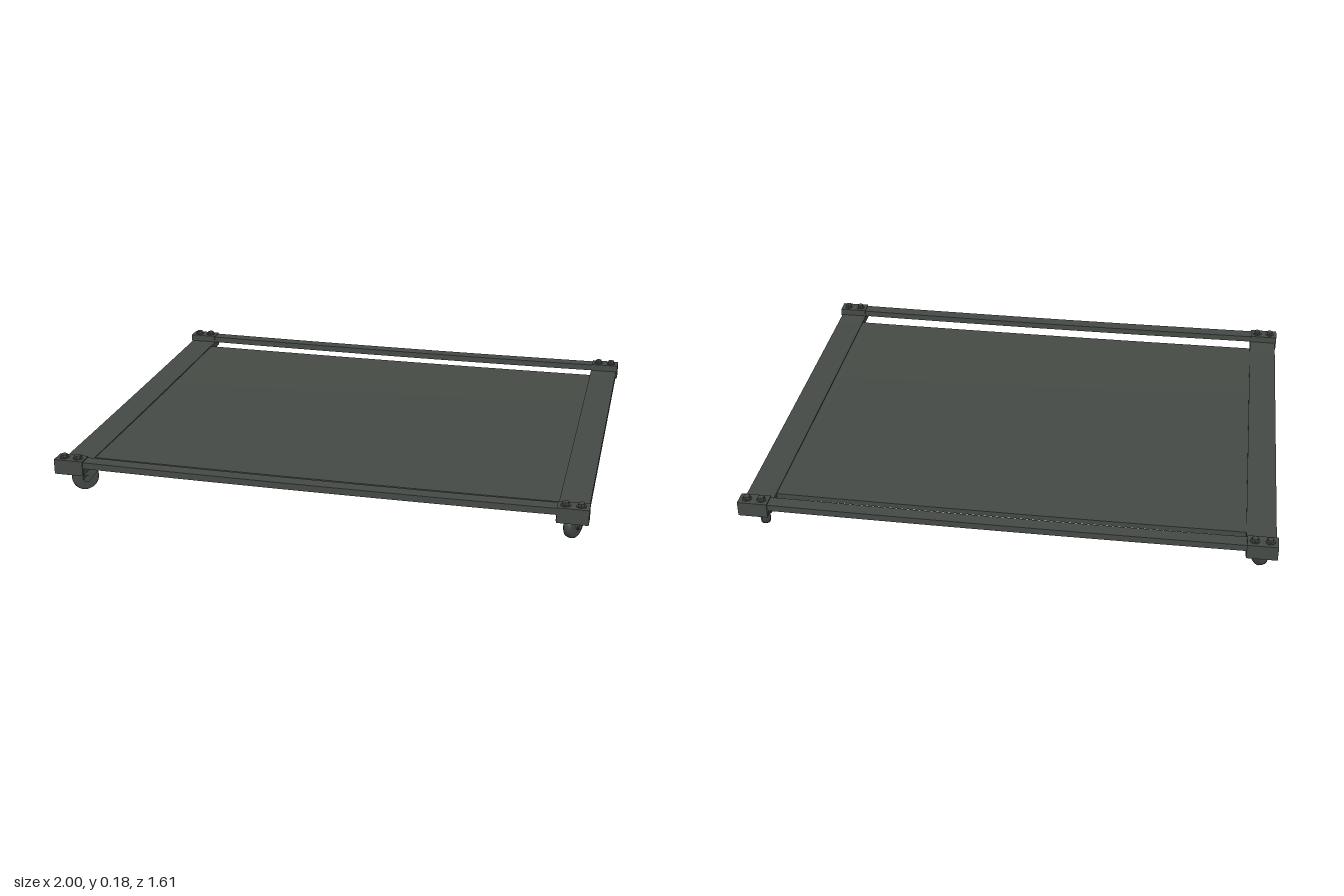
import * as THREE from 'three';

const steel = new THREE.MeshStandardMaterial({ color: 0x464b46 });
steel.name = 'dark grey steel';

function add(parent, name, geometry, x = 0, y = 0, z = 0) {
  const mesh = new THREE.Mesh(geometry, steel);
  mesh.name = name;
  mesh.position.set(x, y, z);
  parent.add(mesh);
  return mesh;
}

// Box whose middle hangs slightly along x and z
function saggingBox(w, h, d, nx, nz, sagX, sagZ) {
  const g = new THREE.BoxGeometry(w, h, d, nx, 1, nz);
  const p = g.attributes.position;
  for (let i = 0; i < p.count; i++) {
    const u = (2 * p.getX(i)) / w, v = (2 * p.getZ(i)) / d;
    p.setY(i, p.getY(i) - sagX * (1 - u * u) - sagZ * (1 - v * v));
  }
  g.computeVertexNormals();
  return g;
}

// Swivel caster: origin on the pivot at floor level, wheel trailing along +z
function caster(x, z, yaw) {
  const group = new THREE.Group();
  group.name = 'caster';
  const trail = 0.042, axleY = 0.052;

  // Wheel with rounded shoulders and a hub
  const profile = [[0.012, -0.017], [0.044, -0.017], [0.05, -0.012], [0.052, 0],
    [0.05, 0.012], [0.044, 0.017], [0.012, 0.017]].map(([r, y]) => new THREE.Vector2(r, y));
  add(group, 'wheel', new THREE.LatheGeometry(profile, 28), 0, axleY, trail).rotation.z = Math.PI / 2;
  add(group, 'axle', new THREE.CylinderGeometry(0.013, 0.013, 0.058, 16), 0, axleY, trail).rotation.z = Math.PI / 2;

  // Slanted fork cheeks, drawn in the (z, y) plane
  const cheek = new THREE.Shape();
  cheek.moveTo(-0.03, 0.106);
  cheek.lineTo(0.036, 0.106);
  cheek.lineTo(trail + 0.016, axleY);
  cheek.absarc(trail, axleY, 0.016, 0, -Math.PI * 0.85, true);
  cheek.closePath();
  const cheekGeometry = new THREE.ExtrudeGeometry(cheek, { depth: 0.006, bevelEnabled: false, curveSegments: 8 });
  cheekGeometry.rotateY(-Math.PI / 2);
  for (const cx of [-0.019, 0.025]) add(group, 'forkCheek', cheekGeometry, cx);

  add(group, 'forkCrown', new THREE.BoxGeometry(0.05, 0.005, 0.066), 0, 0.1045, 0.003);
  add(group, 'swivelPlate', new THREE.CylinderGeometry(0.03, 0.03, 0.006, 20), 0, 0.108, 0);

  // Place so that the wheel centre lands on x, z
  group.position.set(x - Math.sin(yaw) * trail, 0, z - Math.cos(yaw) * trail);
  group.rotation.y = yaw;
  return group;
}

export function createModel() {
  const model = new THREE.Group();
  model.name = 'flatDolly';

  // Thin deck between the side rails
  add(model, 'deck', saggingBox(1.79, 0.02, 1.375, 16, 16, 0.003, 0.004), 0, 0.122, 0);

  // Wide side rails carrying the deck
  for (const s of [-1, 1]) {
    add(model, 'sideRail', saggingBox(0.11, 0.027, 1.6, 1, 16, 0, 0.002), s * 0.94, 0.1215, 0);
  }

  // Raised end rails across front and back
  for (const s of [-1, 1]) {
    add(model, 'endRail', saggingBox(1.99, 0.025, 0.052, 16, 1, 0.005, 0), 0, 0.1465, s * 0.775);
  }

  // Corner brackets with two hex bolts each
  const cap = new THREE.BoxGeometry(0.113, 0.027, 0.06);
  const seat = new THREE.BoxGeometry(0.113, 0.031, 0.06);
  const washer = new THREE.CylinderGeometry(0.018, 0.018, 0.004, 16);
  const bolt = new THREE.CylinderGeometry(0.013, 0.013, 0.013, 6).toNonIndexed();
  bolt.computeVertexNormals();
  for (const sx of [-1, 1]) for (const sz of [-1, 1]) {
    add(model, 'cornerCap', cap, sx * 0.9435, 0.1485, sz * 0.775);
    add(model, 'cornerSeat', seat, sx * 0.9435, 0.1195, sz * 0.775);
    for (const bx of [0.915, 0.97]) {
      add(model, 'washer', washer, sx * bx, 0.163, sz * 0.775);
      add(model, 'bolt', bolt, sx * bx, 0.169, sz * 0.775);
    }
  }

  // Four casters, each swivelled its own way
  model.add(caster(0.94, 0.69, -0.42), caster(-0.93, 0.69, -0.88),
    caster(0.94, -0.69, 0.45), caster(-0.935, -0.69, 0.5));
  return model;
}
